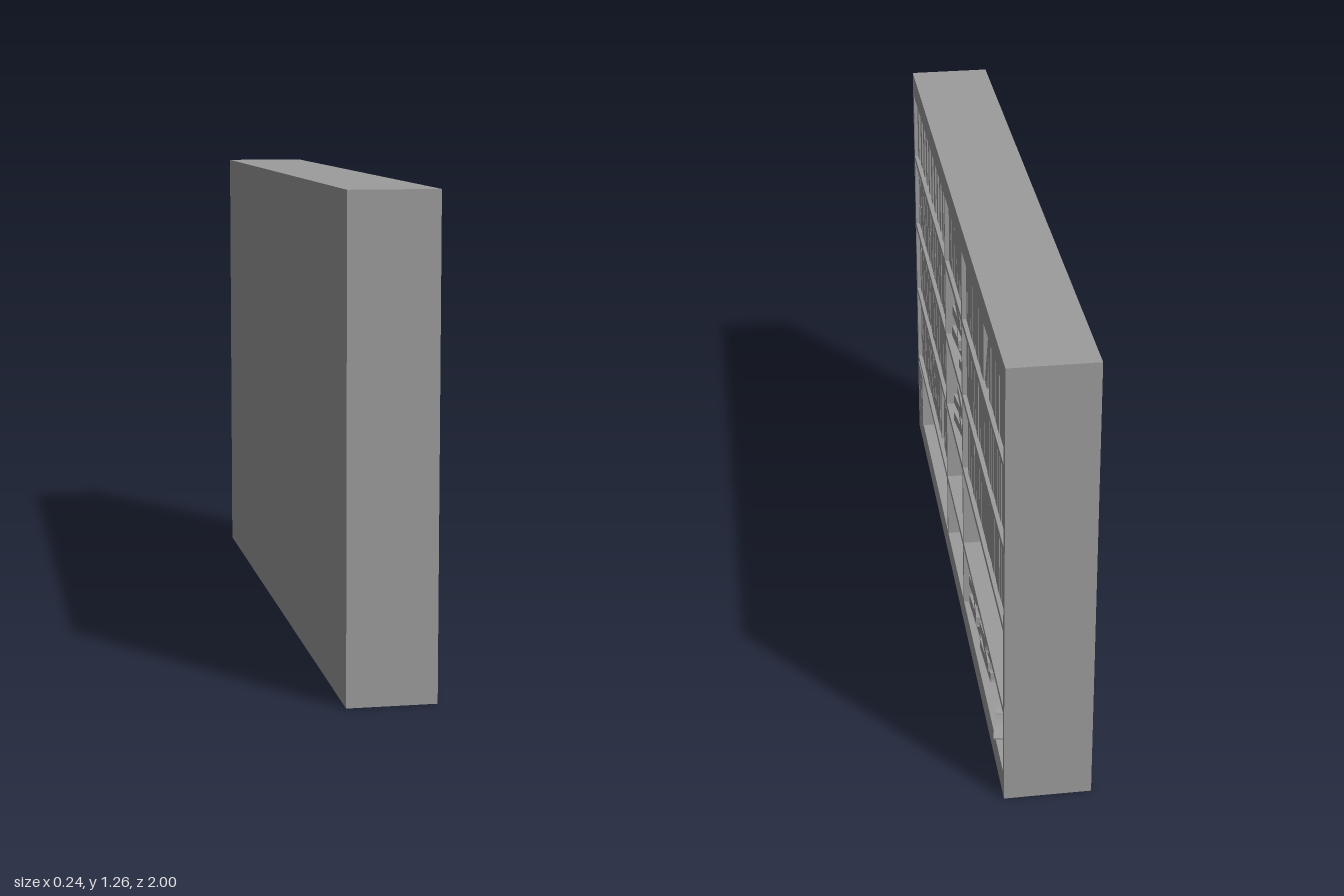
import * as THREE from 'three';
import { mergeGeometries } from 'three/addons/utils/BufferGeometryUtils.js';

const material = new THREE.MeshStandardMaterial({ color: 0x9c9c9c, flatShading: true });
const BACK = -0.123, FRONT = 0.107, HEIGHT = 1.265;

// Seeded variation for book sizes
let seed = 7;
const vary = (a, b) => {
  seed = (seed * 16807) % 2147483647;
  return a + (b - a) * (seed / 2147483647);
};

function boxBetween(name, x0, x1, y0, y1, z0, z1) {
  const mesh = new THREE.Mesh(new THREE.BoxGeometry(x1 - x0, y1 - y0, z1 - z0), material);
  mesh.position.set((x0 + x1) / 2, (y0 + y1) / 2, (z0 + z1) / 2);
  mesh.name = name;
  return mesh;
}

// Upright book: spine faces +x, origin at the bottom of the spine's middle
function makeBook(thick, height, depth) {
  const t = Math.min(0.003, thick * 0.15), h = thick / 2;
  const cover = (sx, sz, x, z) => new THREE.BoxGeometry(sx, height, sz).translate(x, height / 2, z);
  const parts = [
    cover(t, thick, -t / 2, 0),
    cover(depth - t, t, -(depth + t) / 2, h - t / 2),
    cover(depth - t, t, -(depth + t) / 2, -h + t / 2),
    new THREE.BoxGeometry(depth - 3 * t, height - 0.008, thick - 2 * t)
      .translate(-depth / 2 + t / 2, height / 2, 0),
  ];
  const mesh = new THREE.Mesh(mergeGeometries(parts), material);
  mesh.name = 'book';
  return mesh;
}

// Row of upright books from z = start down to z = end; every second one may be smaller
function bookRow(y, start, end, count, height, step = 0, front = 0.097) {
  const row = new THREE.Group();
  row.name = 'bookRow';
  const pitch = (start - end) / count;
  for (let i = 0; i < count; i++) {
    const inset = (i % 2) * step + vary(0, 0.002);
    const book = makeBook(pitch * vary(0.86, 0.92), height - inset, 0.13);
    book.position.set(front - inset, y, start - pitch * (i + 0.5));
    row.add(book);
  }
  return row;
}

// Book tipped sideways against its neighbours
function leaningBook(y, z, angle, thick, height) {
  const book = makeBook(thick, height, 0.13);
  book.name = 'leaningBook';
  book.rotation.x = angle;
  book.position.set(0.095, y + Math.sin(Math.abs(angle)) * thick / 2, z);
  return book;
}

// Pile of lying books, turned against each other
function bookStack(y, start, end, top, count, front = 0.095, swing = 0.1) {
  const stack = new THREE.Group();
  stack.name = 'bookStack';
  const thick = (top - y) / count;
  for (let i = 0; i < count; i++) {
    const length = (start - end) * vary(0.88, 0.95);
    const book = makeBook(thick * 0.95, length, 0.14);
    book.rotation.x = Math.PI / 2;
    book.position.set(0.07, 0, -length / 2);
    const turn = new THREE.Group();
    turn.name = 'lyingBook';
    turn.add(book);
    turn.rotation.y = (i % 2 ? -1 : 1) * vary(0.3, 1) * swing;
    turn.position.set(front - 0.075, y + thick * (i + 0.5), (start + end) / 2);
    stack.add(turn);
  }
  return stack;
}

// Open book: two shallow page wings meeting at a fold
function openBook(y, z, width, depth, turn) {
  const w = width / 2;
  const s = new THREE.Shape();
  s.moveTo(-w, 0);
  s.lineTo(w, 0);
  s.lineTo(w, 0.005);
  s.quadraticCurveTo(w * 0.4, 0.024, 0, 0.008);
  s.quadraticCurveTo(-w * 0.4, 0.024, -w, 0.005);
  const geo = new THREE.ExtrudeGeometry(s, { depth, bevelEnabled: false, curveSegments: 5 });
  geo.translate(0, 0, -depth / 2).rotateY(Math.PI / 2);
  const mesh = new THREE.Mesh(geo, material);
  mesh.name = 'openBook';
  mesh.rotation.y = turn;
  mesh.position.set(0.014, y, z);
  return mesh;
}

export function createModel() {
  seed = 7;
  const model = new THREE.Group();
  model.name = 'bookcase';

  // Case
  const frame = new THREE.Group();
  frame.name = 'case';
  frame.add(
    boxBetween('backPanel', BACK, BACK + 0.02, 0, HEIGHT, -1, 1),
    boxBetween('plinth', BACK + 0.02, FRONT, 0, 0.075, -1, 1),
    boxBetween('topBoard', BACK + 0.02, FRONT, 1.197, HEIGHT, -1, 1),
  );
  for (const s of [1, -1]) {
    frame.add(
      boxBetween('sidePanel', BACK + 0.02, FRONT, 0.075, 1.197, s * 0.989 - 0.011, s * 0.989 + 0.011),
      boxBetween('divider', BACK + 0.02, FRONT, 0.075, 1.197, s * 0.188 - 0.008, s * 0.188 + 0.008),
    );
  }
  const bays = [[0.196, 0.978], [-0.18, 0.18], [-0.978, -0.196]];
  for (const [y0, y1] of [[0.26, 0.278], [0.51, 0.528], [0.743, 0.761], [0.976, 0.994]])
    for (const [z0, z1] of bays)
      frame.add(boxBetween('shelf', BACK + 0.02, FRONT, y0, y1, z0, z1));
  model.add(frame);

  // Top shelf
  model.add(
    bookRow(0.994, 0.975, 0.2, 22, 0.186, 0.016),
    bookRow(0.994, 0.177, -0.155, 10, 0.186),
    bookRow(0.994, -0.198, -0.555, 11, 0.186),
    leaningBook(0.994, -0.58, -0.36, 0.03, 0.168),
    bookRow(0.994, -0.648, -0.976, 9, 0.186),
  );

  // Fourth shelf
  model.add(
    bookRow(0.761, 0.975, 0.56, 25, 0.188),
    bookRow(0.761, 0.56, 0.25, 10, 0.172),
    leaningBook(0.761, 0.232, -0.1, 0.022, 0.172),
    bookStack(0.761, 0.179, -0.01, 0.893, 4, 0.09),
    bookStack(0.761, -0.022, -0.168, 0.82, 2, 0.094, 0.16),
    bookRow(0.761, -0.2, -0.973, 22, 0.188),
  );

  // Middle shelf
  model.add(
    bookRow(0.528, 0.97, 0.2, 22, 0.17),
    bookStack(0.528, 0.09, -0.092, 0.645, 4),
    bookRow(0.528, -0.225, -0.976, 22, 0.17),
  );

  // Second shelf, with loose books lying on the row
  model.add(
    bookRow(0.278, 0.975, 0.41, 27, 0.186),
    bookRow(0.278, 0.365, 0.198, 6, 0.17),
    bookStack(0.465, 0.968, 0.78, 0.481, 1, 0.09),
    bookStack(0.465, 0.775, 0.59, 0.479, 1, 0.09),
    bookStack(0.465, 0.57, 0.375, 0.483, 1, 0.1),
  );

  // Bottom shelf
  model.add(
    bookRow(0.075, 0.976, 0.86, 5, 0.184, 0, 0.11),
    bookStack(0.075, -0.2, -0.395, 0.212, 4, 0.094),
    bookStack(0.075, -0.415, -0.6, 0.196, 4, 0.094),
    openBook(0.075, -0.76, 0.21, 0.16, -0.2),
  );
  return model;
}
